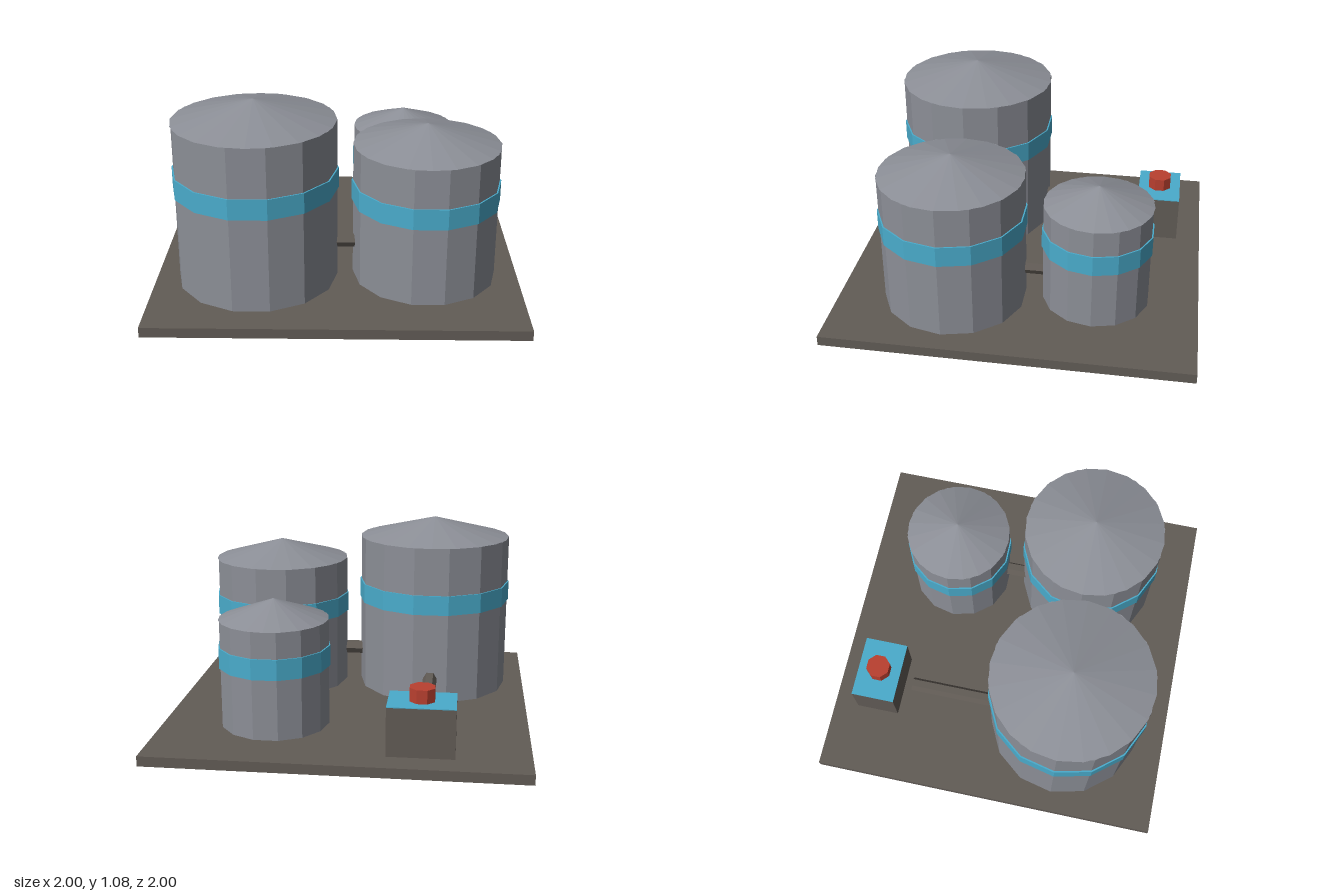
import * as THREE from 'three';

const mat = (name, color) => {
  const m = new THREE.MeshStandardMaterial({ color, flatShading: true });
  m.name = name;
  return m;
};

export function createModel() {
  const steel = mat('steel grey', 0x8c8f97);
  const brown = mat('dark brown', 0x625c56);
  const blue = mat('band blue', 0x4aaccc);
  const red = mat('valve red', 0xba4030);

  const model = new THREE.Group();
  model.name = 'tankFarm';

  const add = (parent, name, geometry, material, x, y, z) => {
    const mesh = new THREE.Mesh(geometry, material);
    mesh.name = name;
    mesh.position.set(x, y, z);
    parent.add(mesh);
    return mesh;
  };

  // Ground slab
  add(model, 'baseSlab', new THREE.BoxGeometry(2, 0.055, 2), brown, 0, 0.0275, 0);

  // Storage tanks: fourteen-sided wall, shallow conical roof, painted band
  const SIDES = 14;
  const drum = (r, h) => new THREE.CylinderGeometry(r, r, h, SIDES).rotateY(Math.PI / 2);
  const tanks = [
    { name: 'largeTank', x: -0.443, z: 0.395, r: 0.443, wall: 0.967, apex: 1.08, band: 0.638 },
    { name: 'mediumTank', x: 0.483, z: 0.357, r: 0.398, wall: 0.823, apex: 0.935, band: 0.552 },
    { name: 'smallTank', x: 0.39, z: -0.427, r: 0.3, wall: 0.648, apex: 0.757, band: 0.447 },
  ];
  for (const t of tanks) {
    const tank = new THREE.Group();
    tank.name = t.name;
    tank.position.set(t.x, 0, t.z);
    model.add(tank);
    const foot = 0.02;
    add(tank, 'wall', drum(t.r, t.wall - foot), steel, 0, (t.wall + foot) / 2, 0);
    add(tank, 'band', drum(t.r + 0.008, 0.113), blue, 0, t.band, 0);
    add(tank, 'roof', new THREE.ConeGeometry(t.r, t.apex - t.wall, 20), steel,
      0, (t.apex + t.wall) / 2, 0);
  }

  // Six-sided pipes with flat tops, running along x or z
  const pipe = (name, from, to) => {
    const a = new THREE.Vector3(...from), b = new THREE.Vector3(...to);
    const g = new THREE.CylinderGeometry(0.04, 0.04, a.distanceTo(b), 6);
    const alongX = from[0] !== to[0];
    if (alongX) g.rotateZ(Math.PI / 2);
    else g.rotateY(Math.PI / 2).rotateX(Math.PI / 2);
    const c = a.add(b).multiplyScalar(0.5);
    add(model, name, g, brown, c.x, c.y, c.z);
  };
  pipe('frontPipe', [-0.04, 0.253, 0.375], [0.13, 0.253, 0.375]);
  pipe('sidePipe', [0.405, 0.215, 0.03], [0.405, 0.215, -0.17]);
  pipe('pumpPipe', [-0.445, 0.2, 0.0], [-0.445, 0.2, -0.54]);

  // Pump house with painted top and octagonal valve cap
  const pump = new THREE.Group();
  pump.name = 'pumpHouse';
  pump.position.set(-0.433, 0, -0.735);
  model.add(pump);
  add(pump, 'housing', new THREE.BoxGeometry(0.353, 0.28, 0.25), brown, 0, 0.178, 0);
  add(pump, 'paintedTop', new THREE.BoxGeometry(0.353, 0.004, 0.25), blue, 0, 0.32, 0);
  add(pump, 'valveCap', new THREE.CylinderGeometry(0.07, 0.07, 0.073, 8).rotateY(Math.PI / 8),
    red, 0, 0.3585, 0);

  return model;
}
